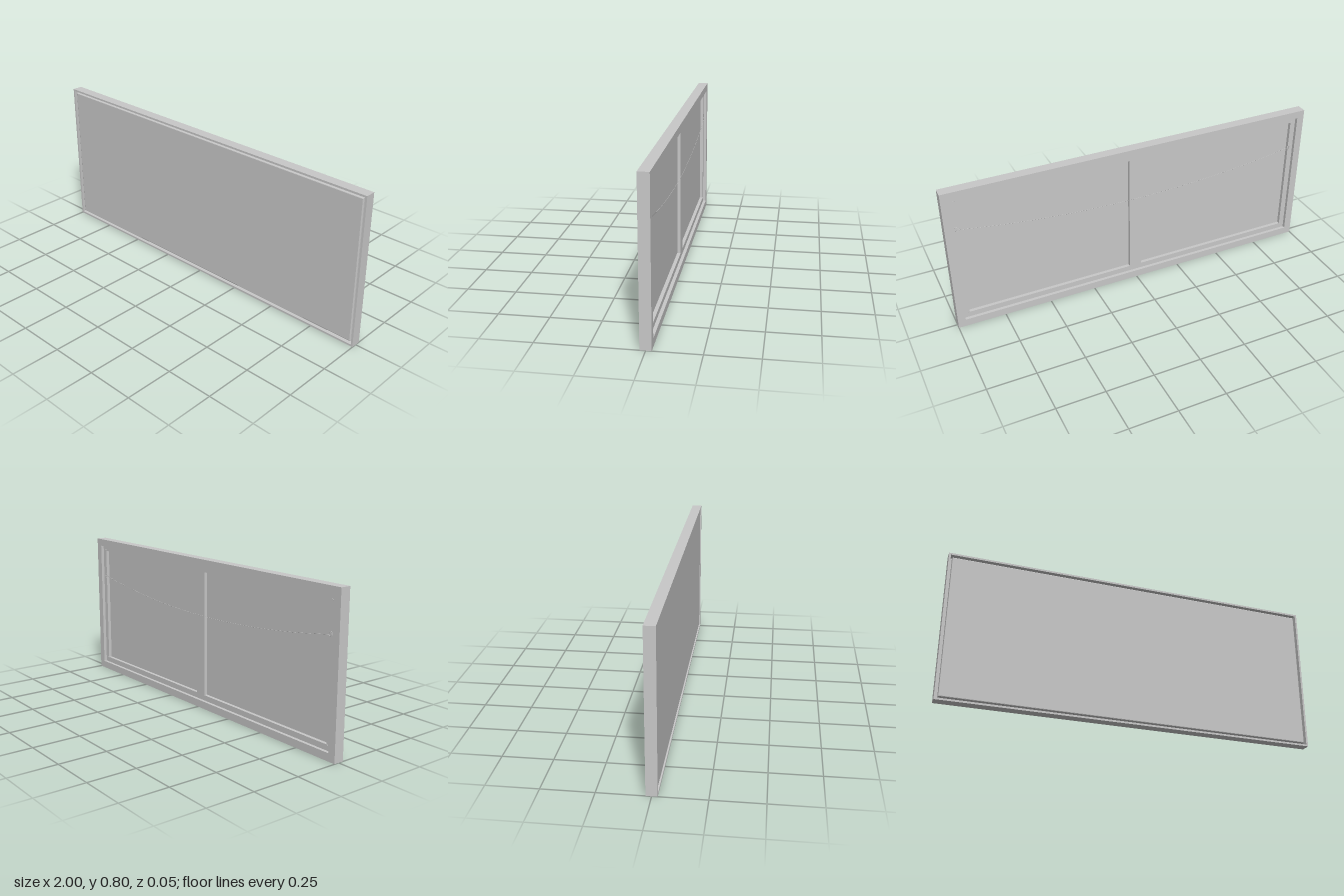
import * as THREE from 'three';

const W = 2, H = 0.8, BACK = -0.027, FRONT = 0.027;
const LEDGE = -0.01; // plane where the canvas rests on the rear flange

export function createModel() {
  const model = new THREE.Group();
  const grey = new THREE.MeshStandardMaterial({ color: 0xc8c8c8 });
  grey.name = 'light grey';

  const add = (name, geometry, x = 0, y = 0, z = 0, parent = model) => {
    const mesh = new THREE.Mesh(geometry, grey);
    mesh.name = name;
    mesh.position.set(x, y, z);
    parent.add(mesh);
    return mesh;
  };

  // Traces a rectangle, centred at half height
  const trace = (path, x0, x1, halfHeight) => {
    const y0 = H / 2 - halfHeight, y1 = H / 2 + halfHeight;
    path.moveTo(x0, y0);
    path.lineTo(x1, y0);
    path.lineTo(x1, y1);
    path.lineTo(x0, y1);
    path.closePath();
    return path;
  };

  // Rectangular slab set in from the outline, with optional openings and edge bevel
  const slab = (inset, z0, z1, holes = [], bevel = 0) => {
    const i = inset + bevel;
    const shape = trace(new THREE.Shape(), -W / 2 + i, W / 2 - i, H / 2 - i);
    for (const [x0, x1, hh] of holes) shape.holes.push(trace(new THREE.Path(), x0, x1, hh));
    return new THREE.ExtrudeGeometry(shape, {
      depth: z1 - z0 - 2 * bevel, bevelEnabled: bevel > 0,
      bevelSize: bevel, bevelThickness: bevel, bevelSegments: 2,
    }).translate(0, 0, z0 + bevel);
  };
  const opening = (inset) => [-W / 2 + inset, W / 2 - inset, H / 2 - inset];

  // Floating frame: thin outer rim and wider rear flange
  add('frameRim', slab(0, LEDGE, FRONT, [opening(0.01)]));
  add('frameFlange', slab(0, BACK, LEDGE, [opening(0.04)]));

  // Canvas panel over stretcher bars with a centre brace
  add('canvasPanel', slab(0.02, 0.008, 0.022, [], 0.004));
  const edge = W / 2 - 0.069, brace = 0.033, hh = H / 2 - 0.069;
  add('stretcherBars', slab(0.02, LEDGE, 0.012, [[-edge, -brace, hh], [brace, edge, hh]]));

  // Hanging hardware, mirrored on both sides
  const ringX = 0.932, ringY = 0.58;
  for (const side of [-1, 1]) {
    const hanger = new THREE.Group();
    hanger.name = side > 0 ? 'leftHanger' : 'rightHanger';
    model.add(hanger);
    add('hangerPlate', new THREE.BoxGeometry(0.012, 0.03, 0.003), side * 0.94, ringY, LEDGE - 0.0015, hanger);
    add('hangerRing', new THREE.TorusGeometry(0.008, 0.001, 6, 16), side * ringX, ringY, LEDGE - 0.003, hanger);
    for (const up of [-1, 1]) {
      const screw = add('cornerScrew', new THREE.CylinderGeometry(0.005, 0.005, 0.003, 12),
        side * (edge + 0.004), H / 2 + up * (hh + 0.004), LEDGE - 0.001);
      screw.rotation.x = Math.PI / 2;
    }
  }

  // Sagging wire between the hangers
  const points = [];
  for (let i = 0; i <= 8; i++) {
    const t = i / 4 - 1;
    points.push(new THREE.Vector3(t * ringX, 0.5 + (ringY - 0.5) * t * t, LEDGE - 0.004));
  }
  add('hangingWire', new THREE.TubeGeometry(new THREE.CatmullRomCurve3(points), 48, 0.0008, 6));

  return model;
}
